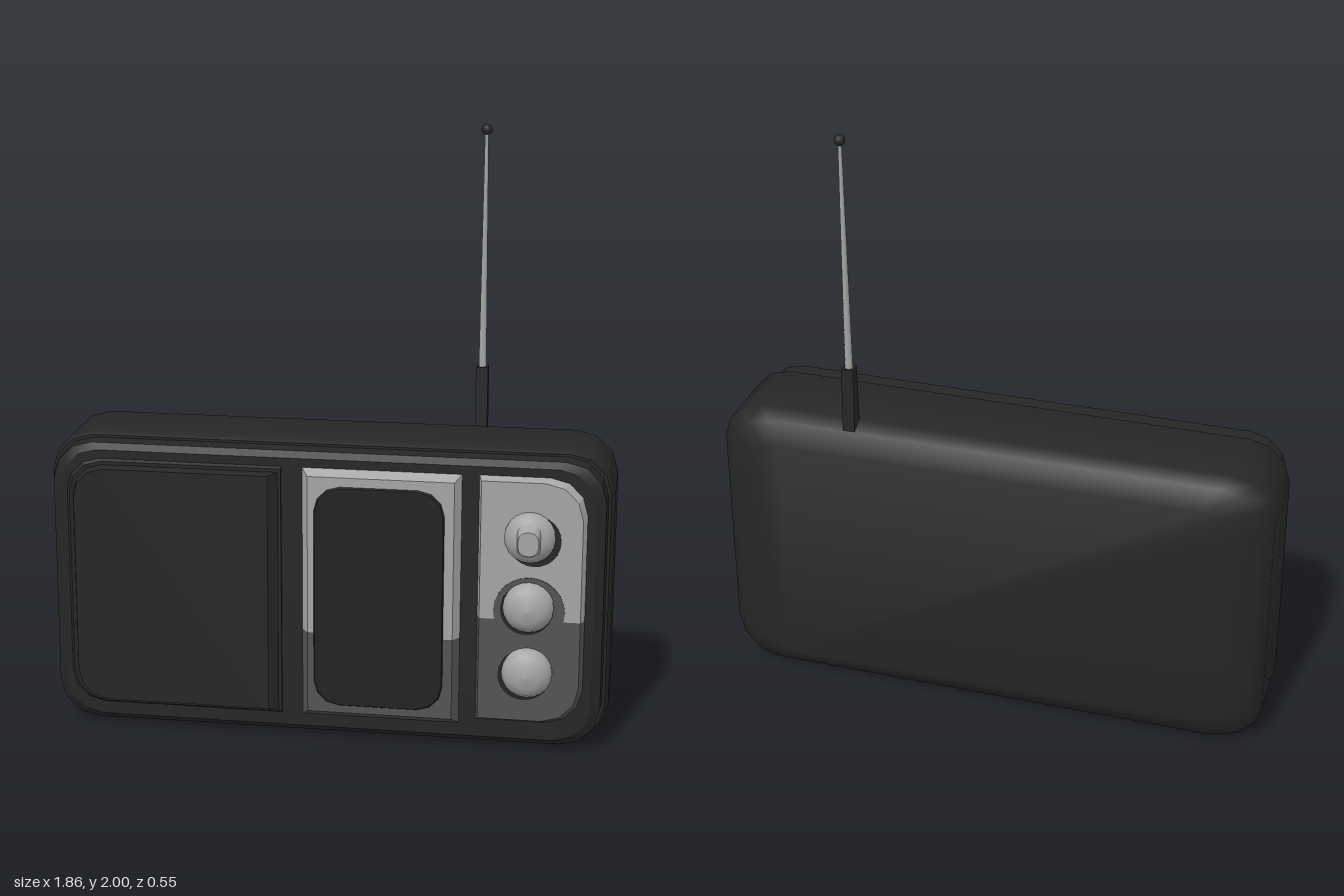
import * as THREE from 'three';
import { toCreasedNormals } from 'three/addons/utils/BufferGeometryUtils.js';

const mat = (name, color) => {
  const m = new THREE.MeshStandardMaterial({ color });
  m.name = name;
  return m;
};

// Rounded rectangle, counter-clockwise; radii = [bottomRight, topRight, topLeft, bottomLeft]
function outline(x0, x1, y0, y1, radii, segs = 3) {
  const corners = [[x1, y0, -1, 1], [x1, y1, -1, -1], [x0, y1, 1, -1], [x0, y0, 1, 1]];
  const pts = [];
  corners.forEach(([x, y, sx, sy], k) => {
    const r = radii[k];
    if (r <= 0) return pts.push([x, y]);
    for (let i = 0; i <= segs; i++) {
      const a = (k - 1 + i / segs) * Math.PI / 2;
      pts.push([x + sx * r + r * Math.cos(a), y + sy * r + r * Math.sin(a)]);
    }
  });
  return pts;
}

// Solid skinned through outlines ordered from back to front: [z, outline points]
function loft(sections, crease = 0.6) {
  const pos = [], idx = [], n = sections[0][1].length;
  sections.forEach(([z, pts]) => pts.forEach(([x, y]) => pos.push(x, y, z)));
  for (let s = 0; s < sections.length - 1; s++) {
    for (let i = 0; i < n; i++) {
      const a = s * n + i, b = s * n + (i + 1) % n;
      idx.push(a, b, b + n, a, b + n, a + n);
    }
  }
  const last = (sections.length - 1) * n;
  for (let i = 1; i < n - 1; i++) {
    idx.push(0, i + 1, i);
    idx.push(last, last + i, last + i + 1);
  }
  const g = new THREE.BufferGeometry();
  g.setAttribute('position', new THREE.Float32BufferAttribute(pos, 3));
  g.setIndex(idx);
  return toCreasedNormals(g, crease);
}

// Raised plate; bevel = inset of [left, right, bottom, top] at the front
function plate(x0, x1, y0, y1, z0, z1, radii, bevel = [0, 0, 0, 0]) {
  const [l, r, b, t] = bevel;
  return loft([
    [z0, outline(x0, x1, y0, y1, radii)],
    [z1, outline(x0 + l, x1 - r, y0 + b, y1 - t, radii)],
  ], 0.3);
}

export function createModel() {
  const black = mat('blackPlastic', 0x262626);
  const screenBlack = mat('screenBlack', 0x222222);
  const silver = mat('silver', 0xa4a4a4);
  const shade = mat('darkGrey', 0x535353);
  const group = new THREE.Group();
  const add = (name, geometry, material, x = 0, y = 0, z = 0) => {
    const m = new THREE.Mesh(geometry, material);
    m.name = name;
    m.position.set(x, y, z);
    group.add(m);
    return m;
  };

  // Case: rounded back, seam step, chamfered front
  const ring = (z, ix, iy, r) =>
    [z, outline(-0.93 + ix, 0.93 - ix, iy, 1 - iy, [r, r, r, r])];
  add('backShell', loft([
    ring(-0.275, 0.12, 0.09, 0.1), ring(-0.235, 0.04, 0.025, 0.13),
    ring(-0.185, 0, 0, 0.14), ring(0.06, 0, 0, 0.14), ring(0.08, 0.012, 0.012, 0.13),
  ], 0.8), black);
  add('frontShell', loft([
    ring(0.07, 0.02, 0.02, 0.13), ring(0.145, 0.025, 0.02, 0.13),
    ring(0.165, 0.055, 0.04, 0.12),
  ], 0.5), black);

  // Speaker panel on the left of the face
  add('speakerBase', plate(-0.86, -0.14, 0.08, 0.935, 0.16, 0.175, [0, 0, 0.11, 0.11],
    [0.015, 0, 0.01, 0.01]), black);
  add('speakerPanel', plate(-0.835, -0.145, 0.095, 0.915, 0.17, 0.2, [0, 0, 0.1, 0.1],
    [0.01, 0.035, 0.01, 0.01]), black);

  // Display: two-tone frame and dark screen
  add('displayFrameTop', plate(-0.075, 0.45, 0.38, 0.935, 0.16, 0.194, [0, 0, 0, 0],
    [0.025, 0.025, 0, 0.025]), silver);
  add('displayFrameBottom', plate(-0.075, 0.45, 0.08, 0.38, 0.16, 0.194, [0, 0, 0, 0],
    [0.025, 0.025, 0.025, 0]), shade);
  add('screen', plate(-0.03, 0.395, 0.13, 0.88, 0.193, 0.2, [0.085, 0.085, 0.085, 0.085],
    [0.004, 0.004, 0.004, 0.004]), screenBlack);

  // Control panel: two-tone plate
  add('controlPanelTop', plate(0.5, 0.85, 0.46, 0.935, 0.16, 0.19, [0, 0.12, 0, 0],
    [0.01, 0.015, 0, 0.015]), silver);
  add('controlPanelBottom', plate(0.5, 0.85, 0.1, 0.46, 0.16, 0.19, [0.12, 0, 0, 0],
    [0.01, 0.015, 0.015, 0]), shade);

  // Knobs with dark surrounds
  const disc = (r) => new THREE.CylinderGeometry(r, r, 0.006, 24).rotateX(Math.PI / 2);
  add('upperKnobSurround', disc(0.085), black, 0.683, 0.728, 0.191);
  add('middleKnobSurround', disc(0.115), shade, 0.67, 0.49, 0.19);
  add('middleKnobRim', disc(0.085), black, 0.662, 0.497, 0.193);
  add('lowerKnobRim', disc(0.085), black, 0.658, 0.272, 0.191);
  const profile = [[0.082, 0.19], [0.082, 0.208], [0.066, 0.235], [0.04, 0.25], [0, 0.256]]
    .map(([r, h]) => new THREE.Vector2(r, h));
  const knob = new THREE.LatheGeometry(profile, 20).rotateX(Math.PI / 2);
  [['lowerKnob', 0.285], ['middleKnob', 0.508], ['upperKnob', 0.742]]
    .forEach(([name, y]) => add(name, knob, silver, 0.668, y));
  add('upperKnobGrip', plate(-0.045, 0.045, -0.068, 0.068, 0.21, 0.273,
    [0.03, 0.03, 0.03, 0.03], [0.012, 0.012, 0.028, 0.028]), silver, 0.668, 0.742);

  // Telescopic antenna
  const base = new THREE.CylinderGeometry(0.0255, 0.038, 0.28, 4, 1).rotateY(Math.PI / 4);
  const p = base.attributes.position;
  for (let i = 0; i < p.count; i++) p.setX(i, Math.sign(p.getX(i)) * 0.02);
  add('antennaBase', toCreasedNormals(base, 0.5), black, 0.472, 1.06, -0.205);
  add('antennaRod', new THREE.CylinderGeometry(0.006, 0.013, 0.78, 10), silver, 0.472, 1.585, -0.205);
  add('antennaTip', new THREE.SphereGeometry(0.018, 12, 8), black, 0.472, 1.982, -0.205);
  return group;
}
